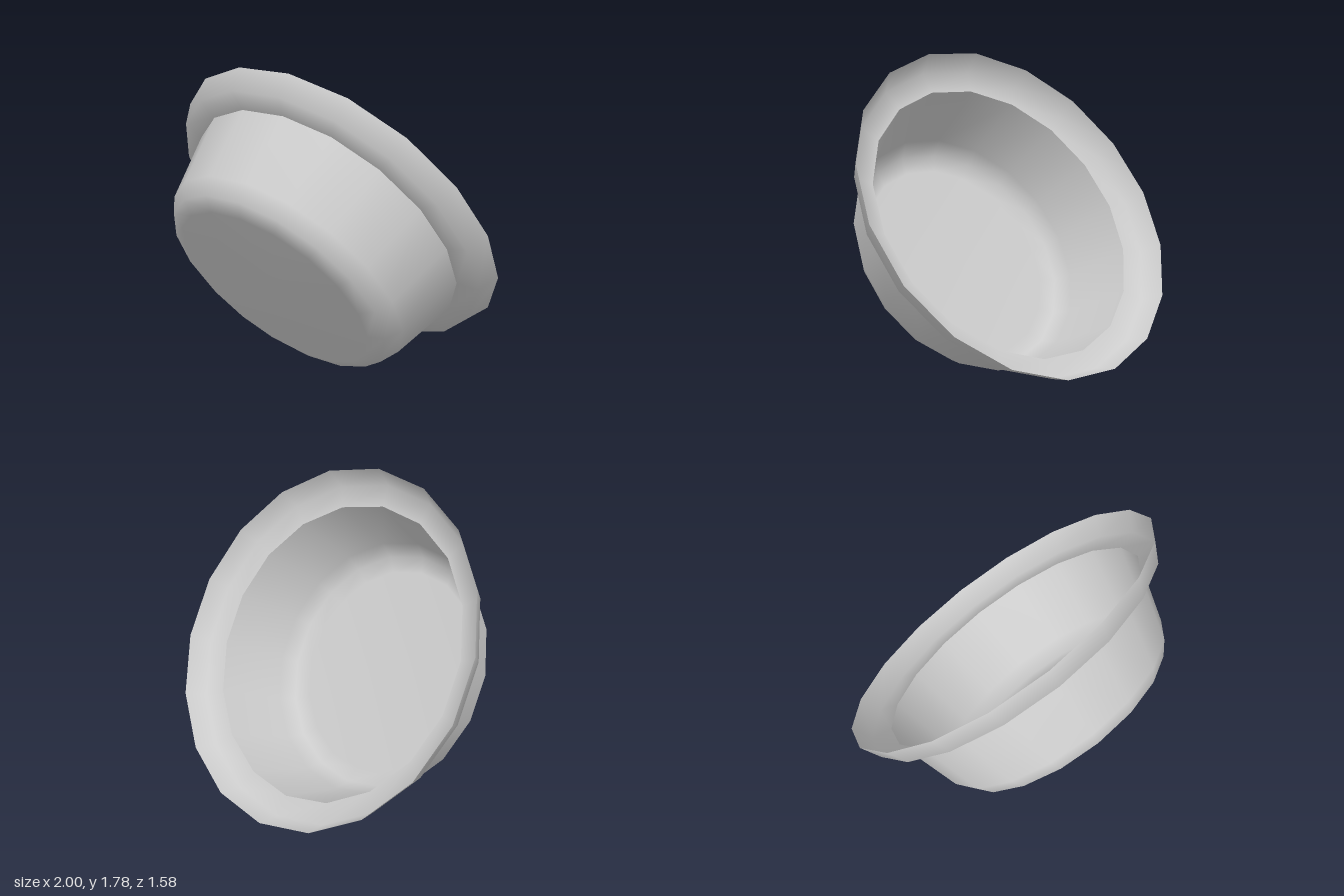
import * as THREE from 'three';

const SIDES = 18;
const material = new THREE.MeshStandardMaterial({ color: 0xcccccc, side: THREE.DoubleSide });

// Thin turned surface from [radius, height] pairs
function turned(name, profile) {
  const points = profile.map(([r, h]) => new THREE.Vector2(r, h));
  const mesh = new THREE.Mesh(new THREE.LatheGeometry(points, SIDES), material);
  mesh.name = name;
  return mesh;
}

export function createModel() {
  const basin = new THREE.Group();
  basin.name = 'basin';

  // Bowl: flat base, rounded lower edge and slightly flared wall
  basin.add(turned('bowl', [[0, -0.668], [0.615, -0.668], [0.703, -0.631], [0.763, -0.544], [0.865, -0.14]]));

  // Rim: flat flange with an upturned outer lip, meeting the wall at a sharp edge
  basin.add(turned('rim', [[0.865, -0.14], [0.987, -0.123], [1.045, 0]]));

  // Tilt the basin so that it opens up and to the back
  const axis = new THREE.Vector3(0.257, 0.569, -0.781).normalize();
  const side = new THREE.Vector3().crossVectors(axis, new THREE.Vector3(0.99, 0.015, 0.33)).normalize();
  const facing = new THREE.Vector3().crossVectors(side, axis);
  basin.quaternion.setFromRotationMatrix(new THREE.Matrix4().makeBasis(side, axis, facing));
  basin.position.set(0, 0.93, -0.14);

  const model = new THREE.Group();
  model.name = 'tiltedBasin';
  model.add(basin);
  return model;
}
